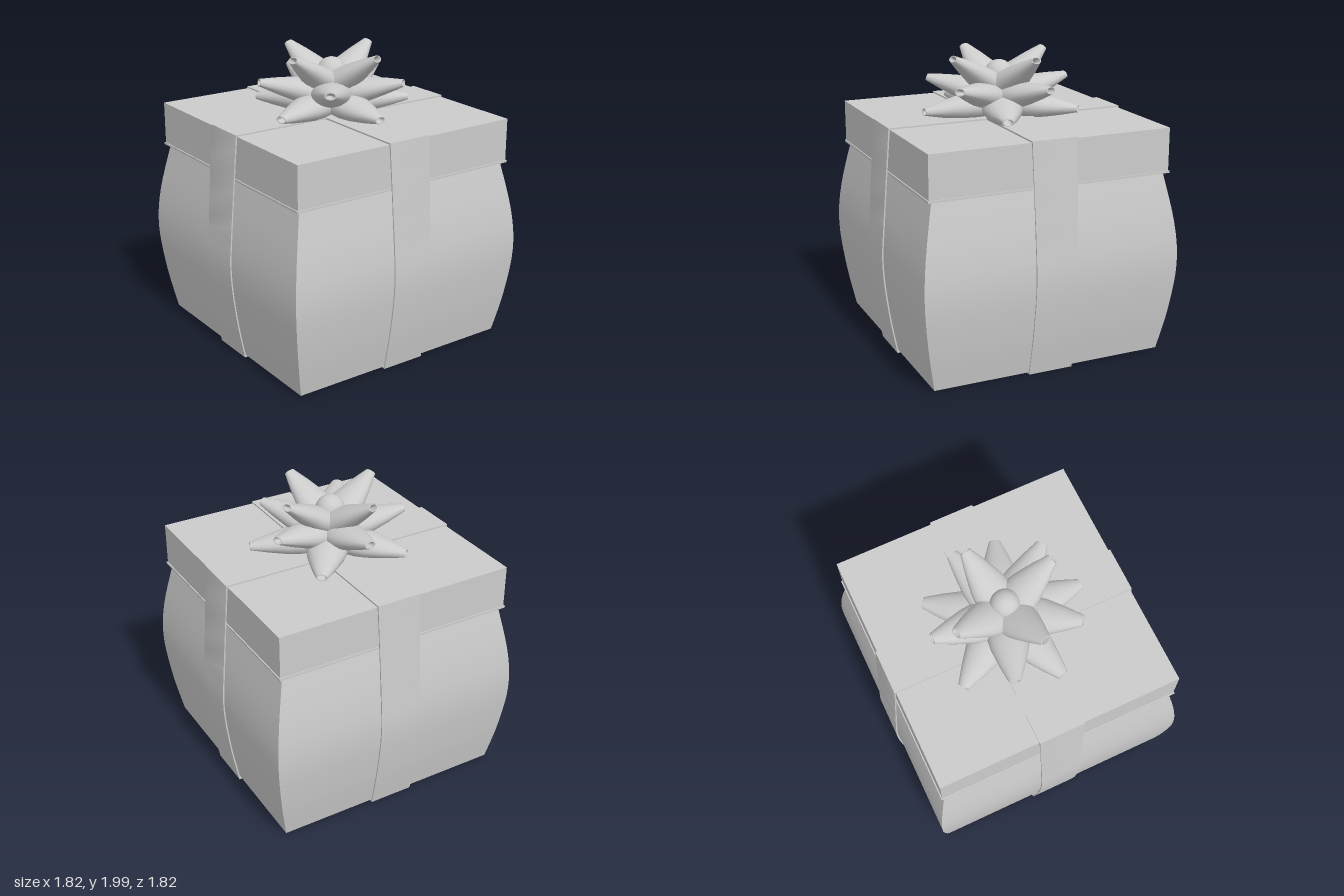
import * as THREE from 'three';
import { toCreasedNormals } from 'three/addons/utils/BufferGeometryUtils.js';

const material = new THREE.MeshStandardMaterial({ color: 0xcccccc });
const doubleSided = new THREE.MeshStandardMaterial({ color: 0xcccccc, side: THREE.DoubleSide });

function add(parent, name, geometry, mat = material) {
  const mesh = new THREE.Mesh(geometry, mat);
  mesh.name = name;
  parent.add(mesh);
  return mesh;
}

// Smooth half-width curves, as (half width, height)
const curve = (points) => new THREE.SplineCurve(points.map(([x, y]) => new THREE.Vector2(x, y)));
const bodyCurve = curve([[0.81, 0.01], [0.862, 0.3], [0.895, 0.63], [0.875, 0.92], [0.805, 1.28]]);
const ribbonCurve = curve([[0.825, 0], [0.878, 0.3], [0.911, 0.64], [0.893, 0.95], [0.845, 1.568]]);

// Square box whose four sides bulge along the curve
function bodyGeometry() {
  const rows = 20;
  const geometry = new THREE.BoxGeometry(2, 1, 2, 1, rows, 1);
  const pos = geometry.attributes.position;
  for (let i = 0; i < pos.count; i++) {
    const p = bodyCurve.getPoint(Math.round((pos.getY(i) + 0.5) * rows) / rows);
    pos.setXYZ(i, pos.getX(i) * p.x, p.y, pos.getZ(i) * p.x);
  }
  geometry.computeVertexNormals();
  return geometry;
}

// Thin closed band around the box, slightly narrower where it bulges
function ribbonGeometry() {
  const width = 0.31;
  const right = ribbonCurve.getPoints(20);
  const outline = [...right, ...right.map((p) => new THREE.Vector2(-p.x, p.y)).reverse()];
  const shape = new THREE.Shape(outline);
  shape.holes.push(new THREE.Path(outline.map((p) => new THREE.Vector2(
    p.x - Math.sign(p.x) * 0.01,
    THREE.MathUtils.clamp(p.y, 0.01, 1.558)
  ))));
  const geometry = new THREE.ExtrudeGeometry(shape, { depth: width, bevelEnabled: false });
  geometry.translate(0, 0, -width / 2);
  const pos = geometry.attributes.position;
  for (let i = 0; i < pos.count; i++) {
    const bulge = Math.sin(Math.PI * pos.getY(i) / 1.568);
    pos.setZ(i, pos.getZ(i) * (1 - 0.06 * bulge));
  }
  return toCreasedNormals(geometry, 0.6);
}

// Flattened cone with a rounded base and a hollow tip, pointing along +z
function loopGeometry(length) {
  const profile = [
    [0, 0], [0.06, 0.02], [0.105, 0.07], [0.132, 0.14], [0.135, length - 0.33],
    [0.122, length - 0.25], [0.082, length - 0.12], [0.038, length],
    [0.031, length], [0.022, length - 0.06], [0, length - 0.08],
  ].map(([r, y]) => new THREE.Vector2(r, y));
  const geometry = new THREE.LatheGeometry(profile, 20);
  geometry.rotateX(Math.PI / 2);
  geometry.scale(1, 0.64, 1);
  return toCreasedNormals(geometry, 0.8);
}

export function createModel() {
  const model = new THREE.Group();
  model.name = 'giftBox';

  // Box and lid
  add(model, 'boxBody', bodyGeometry());
  add(model, 'lid', new THREE.BoxGeometry(1.67, 0.302, 1.67)).position.y = 1.406;
  add(model, 'lidRim', new THREE.BoxGeometry(1.685, 0.014, 1.685)).position.y = 1.262;

  // Crossed ribbons
  const band = ribbonGeometry();
  add(model, 'ribbonAcross', band);
  add(model, 'ribbonFrontToBack', band).rotation.y = Math.PI / 2;

  // Bow: three tiers of loops around a small centre
  const bow = new THREE.Group();
  bow.name = 'bow';
  model.add(bow);
  add(bow, 'bowBase', new THREE.CylinderGeometry(0.14, 0.16, 0.06, 24)).position.y = 1.595;
  const tiers = [
    { name: 'lowerLoop', count: 5, start: 0, reach: 0.54, from: 1.64, to: 1.615 },
    { name: 'middleLoop', count: 5, start: Math.PI, reach: 0.5, from: 1.67, to: 1.79 },
    { name: 'upperLoop', count: 4, start: 0.257, reach: 0.385, from: 1.72, to: 1.972 },
  ];
  for (const { name, count, start, reach, from, to } of tiers) {
    const geometry = loopGeometry(Math.hypot(reach, to - from));
    for (let i = 0; i < count; i++) {
      const loop = add(bow, name, geometry, doubleSided);
      loop.position.y = from;
      loop.rotation.order = 'YXZ';
      loop.rotation.set(-Math.atan2(to - from, reach), start + (i * 2 * Math.PI) / count, 0);
    }
  }
  const centre = add(bow, 'bowCentre', new THREE.SphereGeometry(0.1, 20, 14));
  centre.position.y = 1.83;
  return model;
}
